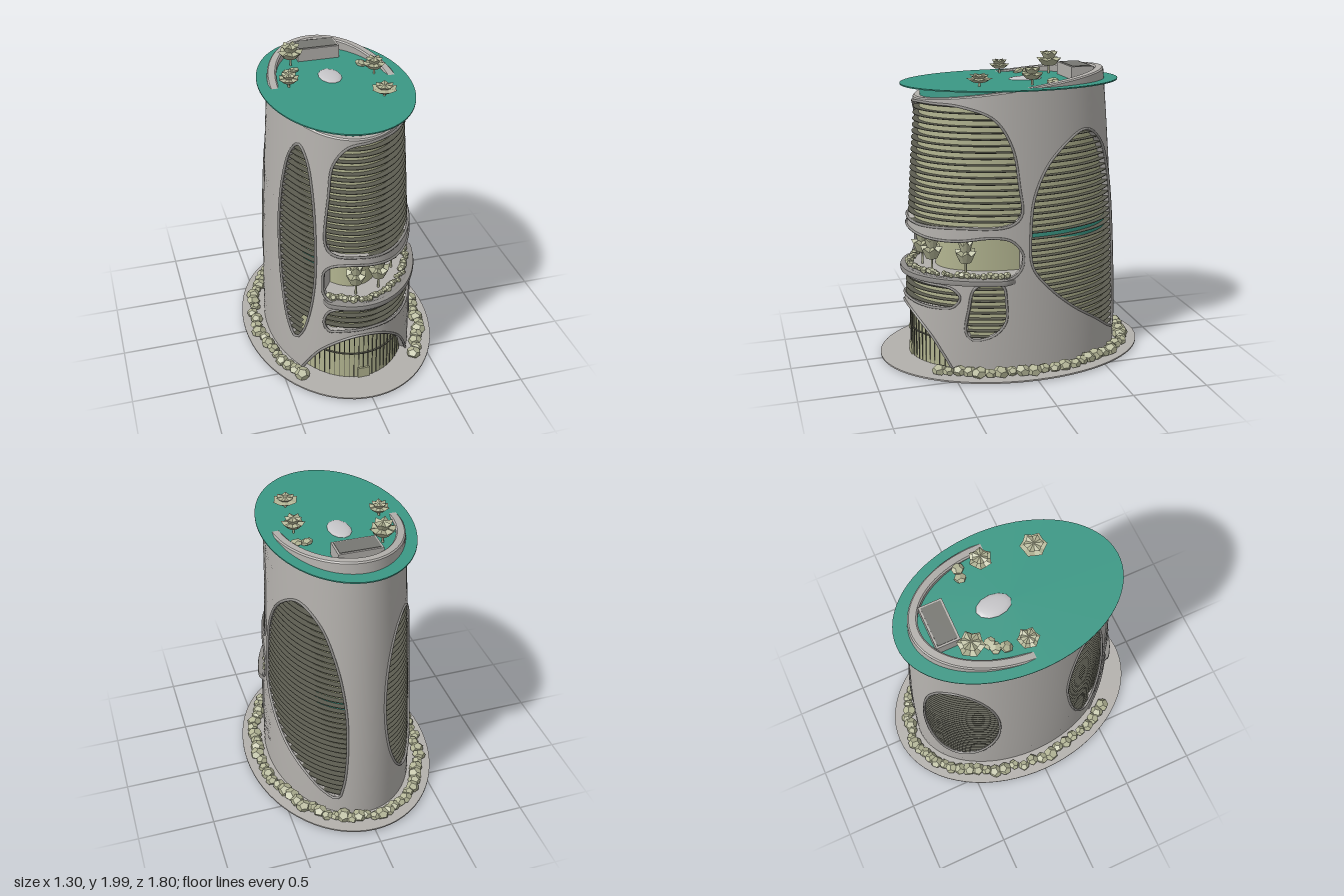
import * as THREE from 'three';
import { toCreasedNormals, mergeGeometries } from 'three/addons/utils/BufferGeometryUtils.js';

const mat = (name, color, side = THREE.DoubleSide) => {
  const m = new THREE.MeshStandardMaterial({ color, side });
  m.name = name;
  return m;
};
const M = {
  concrete: mat('concrete grey', 0xb3b0ac),
  rim: mat('rim grey', 0x8f8d8a),
  glass: mat('olive glazing', 0xb0b28e),
  slat: mat('dark slat', 0x5c5c50),
  teal: mat('teal', 0x3b9885),
  foliage: mat('pale foliage', 0xb3b596),
  dark: mat('dark roofing', 0x777772),
  pale: mat('pale canopy', 0xc6c5c8),
};
const V3 = THREE.Vector3, V2 = THREE.Vector2;
const D = Math.PI / 180, S = 0.6 * D; // S unrolls degrees to wall length

// point on the tapering elliptical wall: 0 degrees is the front, 90 is +x
function wall(t, y, off = 0) {
  const k = Math.pow(Math.max(y, 0) / 1.85, 1.6);
  return new V3((0.49 - 0.08 * k + off) * Math.sin(t * D), y, (0.735 - 0.105 * k + off) * Math.cos(t * D));
}
const topY = t => 1.845 - 0.0756 * Math.cos(t * D);

let seed = 7;
const rnd = () => (seed = (seed * 16807) % 2147483647) / 2147483647;

// surface joining equal rows of points
function loft(rows) {
  const n = rows[0].length, idx = [];
  for (let i = 0; i < rows.length - 1; i++) for (let j = 0; j < n - 1; j++) {
    const a = i * n + j, b = a + n;
    idx.push(a, b, a + 1, b, b + 1, a + 1);
  }
  const g = new THREE.BufferGeometry().setFromPoints(rows.flat());
  g.setIndex(idx);
  return toCreasedNormals(g, 0.6);
}
// profile of [offset, y] pairs carried around the wall
function sweep(t0, t1, n, profile) {
  const rows = [];
  for (let i = 0; i <= n; i++) {
    const t = t0 + (t1 - t0) * i / n;
    rows.push(profile(t).map(([o, y]) => wall(t, y, o)));
  }
  return loft(rows);
}

// window openings as [degrees, y]
const openings = {
  upperFront: [[-30, 1.05], [-28, 1.4], [-25, 1.6], [-14, 1.72], [5, 1.75], [30, 1.755], [50, 1.745], [70, 1.67],
    [80, 1.5], [84, 1.25], [85, 1.06], [79, 1.0], [50, 0.985], [20, 0.975], [-5, 0.99], [-25, 1.0]],
  balcony: [[-32, 0.78], [-31, 0.86], [-25, 0.91], [-12, 0.935], [5, 0.925], [30, 0.9], [50, 0.9], [70, 0.925],
    [80, 0.9], [86, 0.8], [84, 0.7], [78, 0.65], [40, 0.645], [0, 0.645], [-25, 0.645], [-31, 0.69]],
  lowerFront: [[-31, 0.48], [-28, 0.56], [-20, 0.6], [5, 0.605], [30, 0.6], [47, 0.585], [52, 0.53], [48, 0.465],
    [35, 0.445], [5, 0.455], [-15, 0.44], [-28, 0.425]],
  smallSide: [[55.5, 0.3], [57, 0.45], [60, 0.59], [66, 0.625], [75, 0.61], [77, 0.5], [76.5, 0.36], [70, 0.275], [59, 0.25]],
  backLeft: [[90, 0.95], [93, 1.2], [104, 1.42], [126, 1.57], [143, 1.48], [155, 1.25], [163, 0.9], [164, 0.5],
    [161, 0.25], [157, 0.15], [148, 0.175], [131, 0.29], [115, 0.41], [100, 0.57], [91, 0.72]],
  frontRight: [[-52, 1.67], [-45, 1.58], [-40, 1.35], [-37.5, 1.0], [-38, 0.75], [-42, 0.5], [-48, 0.32],
    [-54, 0.25], [-60, 0.33], [-66, 0.55], [-70, 0.85], [-71, 1.1], [-67, 1.4], [-60, 1.6]],
  backRight: Array.from({ length: 16 }, (_, i) =>
    [-138.5 + 26.5 * Math.cos(i * Math.PI / 8), 0.855 - 0.615 * Math.sin(i * Math.PI / 8)]),
};
const arch = [[-48, 0.03], [-42, 0.13], [-33, 0.25], [-20, 0.35], [-9, 0.395], [0, 0.405],
  [9, 0.395], [20, 0.35], [33, 0.25], [42, 0.13], [48, 0.03]];

function smooth(pts, closed, n) {
  const c = new THREE.CatmullRomCurve3(pts.map(([t, y]) => new V3(t * S, y, 0)), closed);
  const out = c.getSpacedPoints(n).map(p => new V2(p.x, p.y));
  if (closed) out.pop();
  return out;
}

// pierced outer skin: flat outline triangulated, refined, then wrapped
function skin(contour, holes) {
  const all = [contour, ...holes].flat(), pos = [], nor = [];
  const emit = p => {
    const t = p.x / S, q = wall(t, p.y);
    const du = wall(t + 0.1, p.y).sub(wall(t - 0.1, p.y)), dv = wall(t, p.y + 0.01).sub(wall(t, p.y - 0.01));
    pos.push(q.x, q.y, q.z);
    nor.push(...du.cross(dv).normalize().toArray());
  };
  const split = (a, b, c) => {
    const ab = a.distanceTo(b), bc = b.distanceTo(c), ca = c.distanceTo(a), m = Math.max(ab, bc, ca);
    if (m < 0.07) return [a, b, c].forEach(emit);
    if (m === bc) return split(b, c, a);
    if (m === ca) return split(c, a, b);
    const h = a.clone().add(b).multiplyScalar(0.5);
    split(a, h, c);
    split(h, b, c);
  };
  for (const [i, j, k] of THREE.ShapeUtils.triangulateShape(contour, holes)) {
    const a = all[i], b = all[j], c = all[k];
    const area = (b.x - a.x) * (c.y - a.y) - (b.y - a.y) * (c.x - a.x);
    area > 0 ? split(a, b, c) : split(a, c, b);
  }
  const g = new THREE.BufferGeometry();
  g.setAttribute('position', new THREE.Float32BufferAttribute(pos, 3));
  g.setAttribute('normal', new THREE.Float32BufferAttribute(nor, 3));
  return g;
}

// lower edge of the teal storey, by angle
const tealEdge = [[-180, 0.83], [-140, 0.85], [-90, 0.86], [-45, 0.85], [-30, 0.79], [-10, 0.81], [10, 0.88],
  [25, 0.93], [60, 0.92], [75, 0.86], [90, 0.9], [163, 0.83], [180, 0.83]];
function tealLow(t) {
  if (t > 180) t -= 360;
  const i = Math.max(1, tealEdge.findIndex(e => e[0] >= t)), [a, ya] = tealEdge[i - 1], [b, yb] = tealEdge[i];
  return ya + (yb - ya) * (t - a) / (b - a);
}

export function createModel() {
  const root = new THREE.Group();
  root.name = 'tower';
  const add = (name, geo, m, x = 0, y = 0, z = 0, parent = root) => {
    const mesh = new THREE.Mesh(geo, m);
    mesh.name = name;
    mesh.position.set(x, y, z);
    parent.add(mesh);
    return mesh;
  };
  const disc = (name, rx, rz, h, y, m) => add(name, new THREE.CylinderGeometry(1, 1, h, 72), m, 0, y, 0).scale.set(rx, 1, rz);

  // ground and roof plates
  disc('groundPlate', 0.65, 0.9, 0.01, 0.025, M.concrete);
  disc('basePlate', 0.46, 0.66, 0.008, 0.016, M.teal);
  disc('roofDeck', 0.477, 0.72, 0.008, 1.85, M.teal);

  // shell with openings, reveals and rims
  const archPts = smooth(arch, false, 50);
  const contour = [new V2(-180 * S, 0.03), ...archPts, new V2(180 * S, 0.03)];
  for (let i = 0; i <= 96; i++) { const t = 180 - i * 3.75; contour.push(new V2(t * S, topY(t))); }
  const holes = Object.values(openings).map(p => smooth(p, true, 72));
  add('shell', skin(contour, holes), M.concrete);
  const edge = (name, pts, closed) => {
    const at = o => pts.map(p => wall(p.x / S, p.y, o));
    const ring = o => closed ? [...at(o), at(o)[0]] : at(o);
    add(name + 'Reveal', loft([ring(0), ring(-0.045)]), M.concrete);
    add(name + 'Rim', new THREE.TubeGeometry(new THREE.CatmullRomCurve3(at(0.001), closed), 110, 0.009, 6, closed), M.rim);
  };
  Object.keys(openings).forEach((k, i) => edge(k, holes[i], true));
  edge('entrance', archPts, false);
  add('shellCrest', sweep(-180, 180, 96, t => {
    const y = topY(t);
    return [[0, y], [-0.008, y + 0.008], [-0.05, y + 0.008], [-0.06, y], [-0.06, 1.75]];
  }), M.concrete);

  // glazing behind the shell
  const IN = -0.042;
  const band = (name, t0, t1, off, lo, hi, m) => add(name, sweep(t0, t1, 80, t => [[off, lo(t)], [off, hi(t)]]), m);
  const c = v => () => v;
  band('lowerGlazing', -180, 180, IN, c(0.03), c(0.64), M.glass);
  band('middleGlazing', 88, 326, IN, c(0.64), tealLow, M.glass);
  band('middleTealBand', 88, 326, IN, tealLow, c(0.945), M.teal);
  band('upperGlazing', -180, 180, IN, c(0.945), c(1.76), M.glass);
  band('roofDrum', -180, 180, IN, c(1.76), c(1.85), M.teal);

  // recessed balcony
  band('balconyGlazing', -34, 88, -0.2, c(0.645), tealLow, M.glass);
  band('balconyTealBand', -34, 88, -0.2, tealLow, c(0.945), M.teal);
  for (const y of [0.645, 0.945])
    add(y < 0.8 ? 'balconyFloor' : 'balconyCeiling', sweep(-34, 88, 48, () => [[-0.2, y], [-0.005, y]]), M.concrete);
  for (const t of [-34, 88])
    add('balconyEndWall', loft([0.645, 0.945].map(y => [wall(t, y, -0.2), wall(t, y, -0.01)])), M.concrete);
  add('balconyLedge', sweep(-33, 83, 60, t => {
    const o = -0.01 + 0.042 * Math.min(1, (t + 33) / 6, (83 - t) / 6);
    return [[-0.03, 0.652], [o, 0.652], [o + 0.003, 0.636], [o, 0.62], [-0.03, 0.612]];
  }), M.rim);

  // horizontal slats, leaving out the entrance and balcony
  const slats = [];
  for (let y = 0.06; y < 1.75; y += 0.04) {
    const [a, b] = y < 0.42 ? [50, 310] : y > 0.63 && y < 0.95 ? [89, 325] : [0, 360];
    slats.push(sweep(a, b, 72, () => [[-0.045, y], [-0.005, y], [-0.005, y + 0.004], [-0.045, y + 0.004]]));
  }
  add('slats', mergeGeometries(slats), M.slat);

  // entrance mullions, transom and door
  for (let t = -44; t <= 44; t += 4) {
    const p = wall(t, 0.2, -0.04);
    add('entranceMullion', new THREE.BoxGeometry(0.004, 0.38, 0.006), M.slat, p.x, 0.22, p.z).rotation.y = t * D;
  }
  add('entranceTransom', sweep(-46, 46, 40, () => [[-0.045, 0.222], [-0.034, 0.222], [-0.034, 0.228], [-0.045, 0.228]]), M.slat);
  add('door', new THREE.BoxGeometry(0.08, 0.075, 0.02), M.glass, 0, 0.067, 0.692);

  // rooftop plant room and canopy
  add('plantRoom', new THREE.BoxGeometry(0.28, 0.085, 0.15), M.concrete, 0, 1.894, -0.445);
  add('plantRoomRoof', new THREE.BoxGeometry(0.255, 0.004, 0.125), M.dark, 0, 1.938, -0.445);
  add('roofCanopy', new THREE.SphereGeometry(1, 12, 4, 0, Math.PI * 2, 0, Math.PI / 2), M.pale, 0, 1.852, -0.1).scale.set(0.075, 0.018, 0.115);

  // trees: trunk and two flared, jagged crowns
  const crown = (r, h) => {
    const g = new THREE.CylinderGeometry(r, r * 0.5, h, 12, 1), p = g.attributes.position;
    for (let i = 0; i < p.count; i++) {
      const x = p.getX(i), z = p.getZ(i), odd = Math.round(Math.atan2(z, x) / (Math.PI / 6)) & 1;
      if (p.getY(i) < 0 || Math.hypot(x, z) < 1e-4) continue;
      if (odd) p.setXYZ(i, x * 0.82, p.getY(i) - h * 0.35, z * 0.82);
    }
    const flat = g.toNonIndexed();
    flat.computeVertexNormals();
    return flat;
  };
  const tree = (x, y, z, h, r) => {
    const g = new THREE.Group();
    g.name = 'tree';
    g.position.set(x, y, z);
    g.rotation.y = rnd() * 6;
    add('trunk', new THREE.CylinderGeometry(0.006, 0.008, h * 0.5, 6), M.foliage, 0, h * 0.25, 0, g);
    add('lowerCrown', crown(r, h * 0.34), M.foliage, 0, h * 0.54, 0, g);
    add('upperCrown', crown(r * 0.72, h * 0.36), M.foliage, 0, h * 0.82, 0, g);
    root.add(g);
  };
  tree(-0.2, 1.854, -0.33, 0.146, 0.085);
  tree(-0.29, 1.854, -0.01, 0.09, 0.07);
  tree(0.28, 1.854, -0.06, 0.11, 0.075);
  tree(0.24, 1.854, 0.27, 0.075, 0.085);
  tree(-0.03, 0.645, 0.6, 0.235, 0.072);
  tree(0.13, 0.645, 0.57, 0.235, 0.075);
  tree(0.28, 0.645, 0.38, 0.235, 0.075);

  // shrubs on the ground, balcony and roof
  const shrub = (name, x, y, z, r, squash) => {
    const s = add(name, new THREE.DodecahedronGeometry(r, 0), M.foliage, x, y, z);
    s.scale.y = squash;
    s.rotation.set((rnd() - 0.5) * 0.5, rnd() * 6, (rnd() - 0.5) * 0.5);
  };
  for (let i = 0; i < 54; i++) {
    const t = (43 + i * 274 / 53) * D, k = (rnd() - 0.5) * 0.03, r = 0.036 + rnd() * 0.018;
    shrub('groundShrub', (0.565 + k) * Math.sin(t), 0.058, (0.8 + k) * Math.cos(t), r, 0.75);
  }
  for (let i = 0; i < 34; i++) {
    const p = wall(-28 + i * 3.2, 0.66, -0.015 - rnd() * 0.03);
    shrub('balconyShrub', p.x, 0.668, p.z, 0.018 + rnd() * 0.01, 0.9);
  }
  for (const [x, z] of [[-0.25, -0.2], [-0.21, -0.22], [0.24, -0.21], [0.3, -0.2], [-0.27, -0.14]])
    shrub('roofShrub', x, 1.868, z, 0.04, 0.45);

  return root;
}
